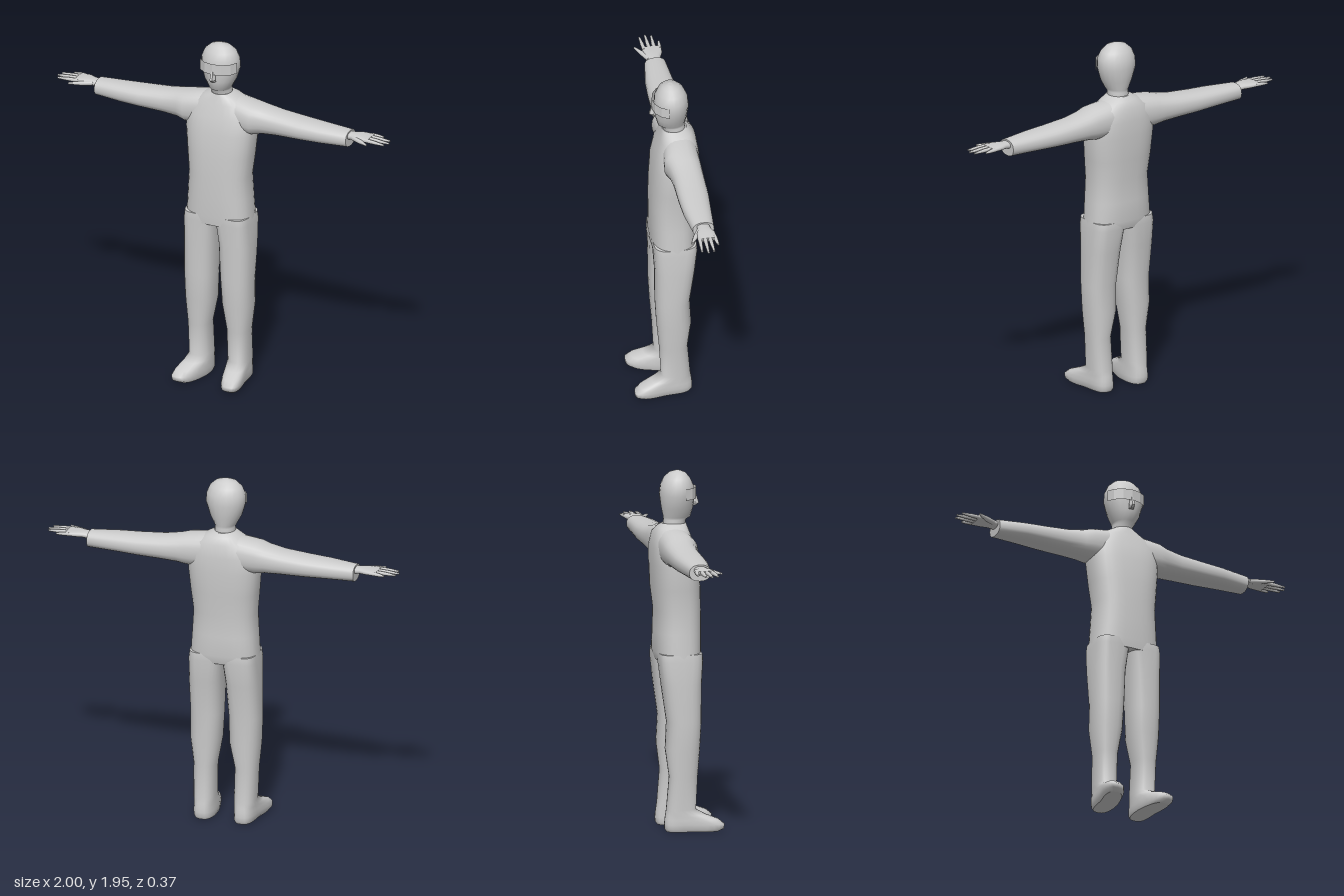
import * as THREE from 'three';

const grey = new THREE.MeshStandardMaterial({ color: 0xcccccc });
const facetGrey = new THREE.MeshStandardMaterial({ color: 0xcccccc, flatShading: true, side: THREE.DoubleSide });

// Closed skin through superellipse rings. Each section is
// [position along axis, uMin, uMax, vMin, vMax, squareness], in ascending position.
// Axis y: u = x, v = z. Axis x: u = z, v = y. The bend rule may move points.
function loft(axis, sections, sides = 24, bend = null) {
  const pos = [], index = [];
  const put = (u, v, t) => {
    const p = axis === 'y' ? new THREE.Vector3(u, t, v) : new THREE.Vector3(t, v, u);
    if (bend) bend(p);
    pos.push(p.x, p.y, p.z);
  };
  const power = (c, n) => Math.sign(c) * Math.abs(c) ** (2 / n);
  const ring = ([t, u0, u1, v0, v1, n = 2]) => {
    for (let j = 0; j < sides; j++) {
      const a = (j / sides) * Math.PI * 2;
      put((u0 + u1) / 2 + power(Math.cos(a), n) * (u1 - u0) / 2,
        (v0 + v1) / 2 + power(Math.sin(a), n) * (v1 - v0) / 2, t);
    }
  };
  sections.forEach(ring);
  for (let i = 0; i < sections.length - 1; i++) {
    for (let j = 0; j < sides; j++) {
      const a = i * sides + j, b = i * sides + (j + 1) % sides;
      index.push(a, a + sides, b, b, a + sides, b + sides);
    }
  }
  // End caps with their own vertices keep the rims sharp
  [sections[0], sections[sections.length - 1]].forEach((s, end) => {
    const first = pos.length / 3;
    ring(s);
    put((s[1] + s[2]) / 2, (s[3] + s[4]) / 2, s[0]);
    for (let j = 0; j < sides; j++) {
      const a = first + j, b = first + (j + 1) % sides, c = first + sides;
      if (end) index.push(a, c, b); else index.push(a, b, c);
    }
  });
  const geo = new THREE.BufferGeometry();
  geo.setAttribute('position', new THREE.Float32BufferAttribute(pos, 3));
  geo.setIndex(index);
  geo.computeVertexNormals();
  return geo;
}

export function createModel() {
  const model = new THREE.Group();
  model.name = 'figure';
  const add = (geo, name, material = grey) => {
    const mesh = new THREE.Mesh(geo, material);
    mesh.name = name;
    model.add(mesh);
    return mesh;
  };
  // Left part plus its mirrored twin
  const addPair = (geo, name) => {
    add(geo, 'left' + name);
    const twin = geo.clone().scale(-1, 1, 1);
    twin.setIndex(Array.from(geo.index.array).reverse());
    add(twin, 'right' + name);
  };

  // Torso, from seat to collar
  add(loft('y', [
    [0.92, -0.192, 0.192, -0.155, 0.073, 2.7],
    [0.97, -0.188, 0.188, -0.17, 0.078, 2.6],
    [1.08, -0.182, 0.182, -0.168, 0.08, 2.5],
    [1.2, -0.175, 0.175, -0.165, 0.08, 2.5],
    [1.32, -0.188, 0.188, -0.18, 0.077, 2.5],
    [1.45, -0.2, 0.2, -0.184, 0.067, 2.6],
    [1.54, -0.195, 0.195, -0.184, 0.047, 2.6],
    [1.61, -0.16, 0.16, -0.172, 0.025, 2.4],
    [1.645, -0.1, 0.1, -0.15, 0.014, 2.2],
    [1.665, -0.06, 0.06, -0.125, 0.008],
  ], 32), 'torso');

  // Legs running into shoes, toes turned out
  addPair(loft('y', [
    [0, 0.06, 0.165, -0.125, 0.155, 3],
    [0.015, 0.054, 0.174, -0.135, 0.182, 3],
    [0.04, 0.052, 0.178, -0.136, 0.185, 2.8],
    [0.065, 0.053, 0.177, -0.134, 0.155, 2.7],
    [0.09, 0.054, 0.175, -0.13, 0.09, 2.5],
    [0.12, 0.055, 0.175, -0.125, 0.035, 2.4],
    [0.3, 0.055, 0.18, -0.11, 0.045, 2.3],
    [0.45, 0.026, 0.196, -0.13, 0.058, 2.3],
    [0.6, 0.02, 0.198, -0.122, 0.066, 2.4],
    [0.8, 0.012, 0.198, -0.15, 0.067, 2.7],
    [0.93, 0.0, 0.192, -0.163, 0.074, 3.4],
    [0.97, -0.004, 0.187, -0.16, 0.072, 3.4],
  ], 24, p => { p.x += 0.22 * Math.max(0, p.z) * THREE.MathUtils.clamp((0.2 - p.y) / 0.1, 0, 1); }), 'Leg');

  // Sleeves, starting inside the chest
  addPair(loft('x', [
    [0.02, -0.165, 0.012, 1.46, 1.648, 2.4],
    [0.1, -0.168, 0.02, 1.45, 1.645, 2.4],
    [0.2, -0.168, 0.03, 1.452, 1.628, 2.4],
    [0.25, -0.167, 0.012, 1.462, 1.616, 2.4],
    [0.34, -0.166, 0.003, 1.468, 1.6, 2.4],
    [0.48, -0.165, 0.002, 1.472, 1.587, 2.4],
    [0.6, -0.156, -0.004, 1.476, 1.58, 2.4],
    [0.76, -0.145, -0.028, 1.481, 1.57, 2.4],
  ]), 'Arm');

  // Palms
  addPair(loft('x', [
    [0.74, -0.118, -0.05, 1.52, 1.562, 2.3],
    [0.79, -0.122, -0.048, 1.528, 1.563, 2.3],
    [0.83, -0.138, -0.036, 1.532, 1.564, 2.6],
    [0.885, -0.142, -0.034, 1.536, 1.558, 3],
  ], 16), 'Palm');

  // Four fingers: [z at knuckle, z at tip, x of tip]
  [[-0.047, -0.04, 0.985], [-0.075, -0.073, 1.0], [-0.102, -0.105, 0.99], [-0.129, -0.137, 0.935]]
    .forEach(([z0, z1, tip], i) => addPair(loft('x', [
      [0.865, z0 - 0.012, z0 + 0.012, 1.538, 1.559, 2.6],
      [(0.865 + tip) / 2, (z0 + z1) / 2 - 0.01, (z0 + z1) / 2 + 0.01, 1.538, 1.557, 2.6],
      [tip, z1 - 0.006, z1 + 0.006, 1.54, 1.55, 2.6],
    ], 8), 'Finger' + (i + 1)));

  // Thumbs
  addPair(loft('x', [
    [0.78, -0.075, -0.045, 1.53, 1.558],
    [0.84, -0.05, -0.016, 1.532, 1.556],
    [0.9, -0.006, 0.006, 1.538, 1.55],
  ], 8), 'Thumb');

  // Neck and head
  add(loft('y', [
    [1.62, -0.06, 0.06, -0.12, 0.0],
    [1.685, -0.055, 0.055, -0.115, 0.008],
    [1.698, -0.06, 0.06, -0.116, 0.032],
    [1.75, -0.088, 0.088, -0.127, 0.046],
    [1.82, -0.11, 0.11, -0.136, 0.052],
    [1.87, -0.107, 0.107, -0.13, 0.048],
    [1.91, -0.09, 0.09, -0.112, 0.03],
    [1.938, -0.058, 0.058, -0.084, 0.006],
    [1.95, -0.015, 0.015, -0.05, -0.025],
  ], 20), 'head');

  // Wrap-around eyewear
  const visor = new THREE.CylinderGeometry(1, 1, 0.062, 6, 1, true, -1.4, 2.8);
  visor.scale(0.113, 1, 0.096).translate(0, 1.832, -0.032);
  add(visor, 'visor', facetGrey);

  // Nose
  add(loft('y', [
    [1.755, -0.014, 0.014, 0.03, 0.062],
    [1.77, -0.016, 0.016, 0.03, 0.082],
    [1.82, -0.008, 0.008, 0.03, 0.066],
  ], 6), 'nose', facetGrey);

  return model;
}
